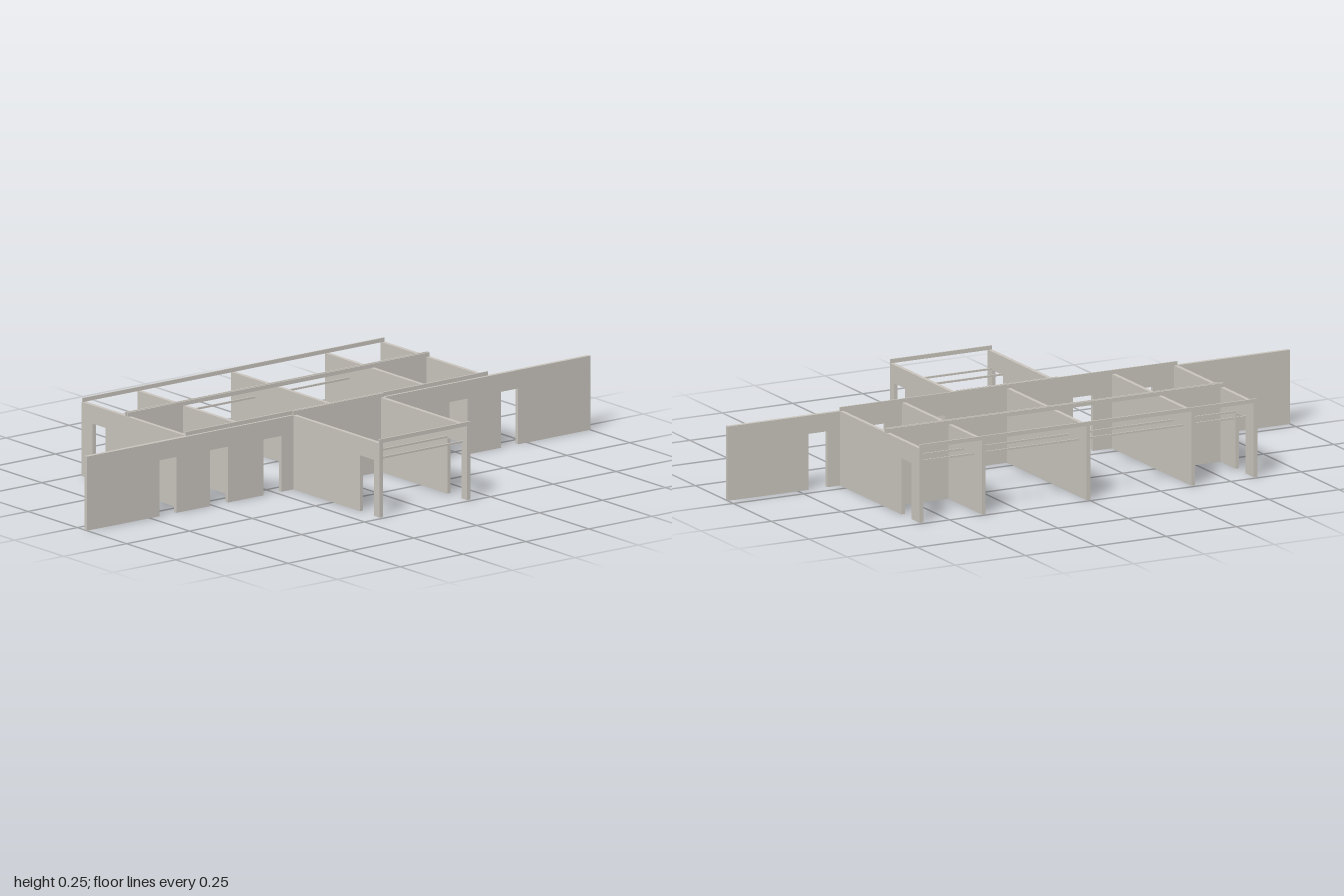
import * as THREE from 'three';

const H = 0.24;      // wall height
const DOOR_H = 0.181; // door height
const T = 0.013;     // wall thickness

export function createModel() {
  const model = new THREE.Group();
  model.name = 'floorPlanWalls';
  const plaster = new THREE.MeshStandardMaterial({ color: 0xc9c4bd });
  plaster.name = 'warm grey plaster';

  function add(name, geometry) {
    const mesh = new THREE.Mesh(geometry, plaster);
    mesh.name = name;
    model.add(mesh);
    return mesh;
  }

  // Upright slab from a to b with doorways cut up from the floor
  function wallGeometry(a, b, doors) {
    const s = new THREE.Shape();
    s.moveTo(a, 0);
    for (const [d0, d1] of doors) {
      s.lineTo(d0, 0);
      s.lineTo(d0, DOOR_H);
      s.lineTo(d1, DOOR_H);
      s.lineTo(d1, 0);
    }
    s.lineTo(b, 0);
    s.lineTo(b, H);
    s.lineTo(a, H);
    s.closePath();
    const g = new THREE.ExtrudeGeometry(s, { depth: T, bevelEnabled: false });
    return g.translate(0, 0, -T / 2);
  }
  const wallAlongX = (name, x0, x1, z, doors = []) =>
    add(name, wallGeometry(x0, x1, doors).translate(0, 0, z));

  // Turned so that the profile runs along z (profile u = -z)
  const wallAlongZ = (name, z0, z1, x, doors = []) =>
    add(name, wallGeometry(-z1, -z0, doors.map(([a, b]) => [-b, -a]))
      .rotateY(Math.PI / 2).translate(x, 0, 0));

  function bar(name, halfLength, y, z, h, d) {
    const g = new THREE.BoxGeometry(halfLength * 2, h, d);
    add(name, g.translate(0, y + h / 2, z));
  }

  // Long corridor wall with six doorways
  wallAlongX('mainWall', -1, 1, 0.043, [
    [-0.713, -0.645], [-0.512, -0.44], [-0.298, -0.228],
    [0.228, 0.298], [0.44, 0.512], [0.645, 0.713],
  ]);

  // Rear rooms
  wallAlongZ('rearCentreWall', -0.488, 0.0365, 0);
  for (const side of [-1, 1]) {
    const label = side > 0 ? 'left' : 'right';
    wallAlongZ(label + 'RearPartition', -0.488, 0.0365, side * 0.373);
    wallAlongZ(label + 'RearOuterWall', -0.488, 0.0365, side * 0.594, [[-0.433, -0.368]]);
    const inner = side * 0.3795, outer = side * 0.5875;
    wallAlongX(label + 'RearCrossWall', Math.min(inner, outer), Math.max(inner, outer), -0.262);
    // Front room sides
    wallAlongZ(label + 'FrontRoomWall', 0.0495, 0.488, side * 0.174, [[0.387, 0.46]]);
  }

  // Slim rails on top of the walls
  for (const z of [-0.4855, -0.267, -0.257, 0.039]) bar('rearTopRail', 0.6, H, z, 0.013, 0.005);
  for (const z of [0.047, 0.4855]) bar('frontTopRail', 0.1805, H, z, 0.013, 0.005);

  // Thin bars spanning between opposite door heads
  for (const z of [-0.435, -0.366]) bar('rearDoorBar', 0.5875, DOOR_H, z, 0.006, 0.004);
  for (const z of [0.385, 0.462]) bar('frontDoorBar', 0.1675, DOOR_H, z, 0.006, 0.004);

  return model;
}
